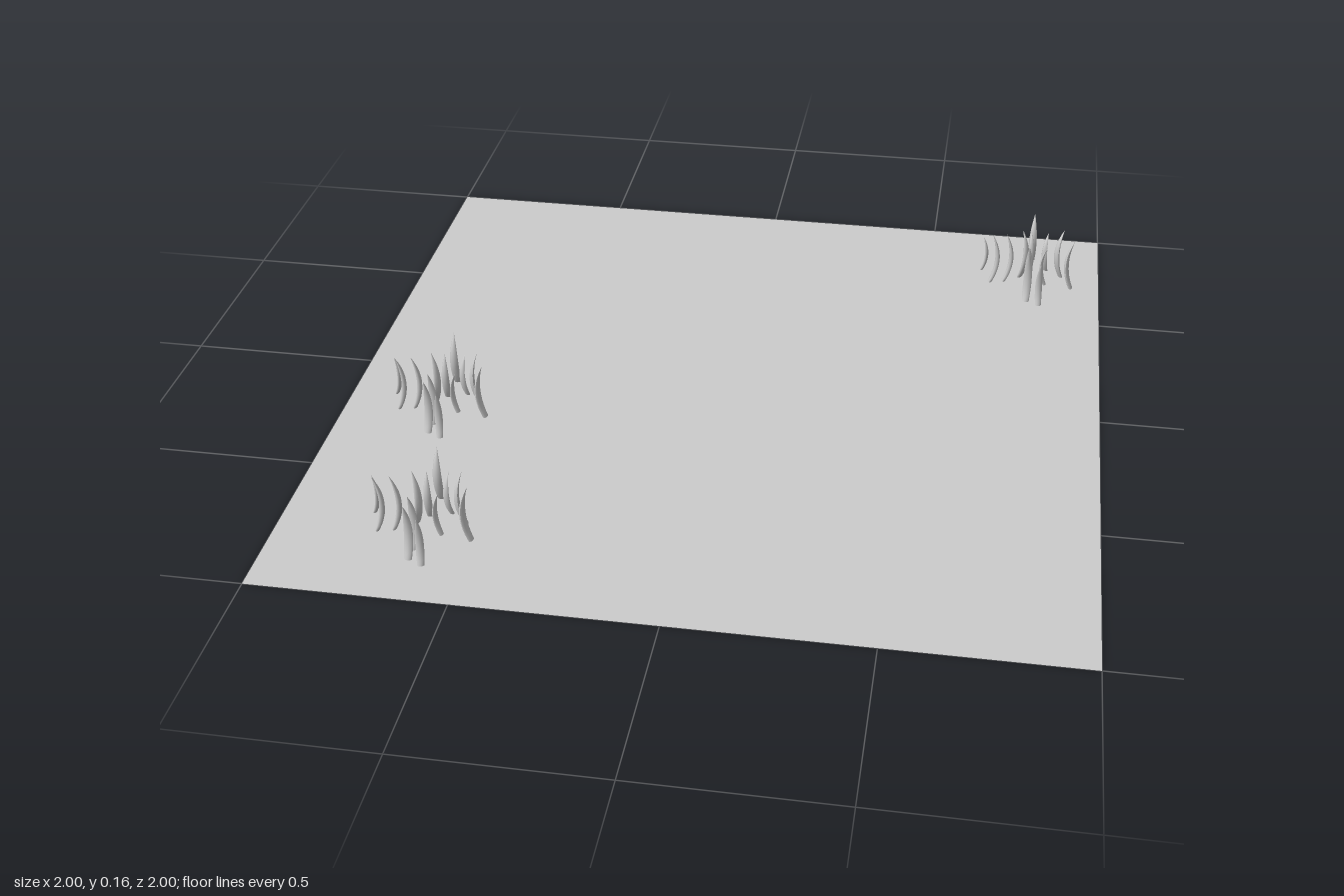
import * as THREE from 'three';

const material = new THREE.MeshStandardMaterial({ color: 0xcccccc, side: THREE.DoubleSide });

// Blade offsets within one clump: x, z, height
const BLADES = [
  [-0.14, -0.05, 0.11], [0, -0.125, 0.155], [0.04, -0.07, 0.125], [0.08, -0.04, 0.155],
  [0.11, 0.02, 0.155], [0.035, 0.01, 0.12], [-0.005, -0.05, 0.135], [-0.025, -0.02, 0.155],
  [-0.07, 0.005, 0.155], [-0.11, 0.015, 0.155], [-0.01, 0.07, 0.155], [-0.01, 0.11, 0.155],
  [0.025, 0.13, 0.135],
];
const CLUMPS = [[0.8, -0.73], [-0.735, 0.2], [-0.63, 0.73]];

// Tapered blade whose middle bows towards -x, with base and tip turned outwards
function bladeGeometry() {
  const geometry = new THREE.CylinderGeometry(1, 1, 1, 8, 10, true);
  const p = geometry.attributes.position;
  for (let i = 0; i < p.count; i++) {
    const t = p.getY(i) + 0.5;
    const taper = Math.max(0.03, (0.8 + 0.7 * t) * (1 - Math.pow(t, 2.2)));
    const bow = 0.018 * (Math.pow(2 * t - 1, 2) - 0.5);
    p.setXYZ(i, p.getX(i) * 0.0075 * taper + bow, t * 0.155, p.getZ(i) * 0.0125 * taper);
  }
  geometry.computeVertexNormals();
  return geometry;
}

export function createModel() {
  const model = new THREE.Group();
  model.name = 'grassyGround';

  // Flat square of ground
  const ground = new THREE.Mesh(new THREE.PlaneGeometry(2, 2).rotateX(-Math.PI / 2), material);
  ground.name = 'ground';
  model.add(ground);

  // Three identical grass clumps, every blade splaying away from its clump centre
  const geometry = bladeGeometry();
  CLUMPS.forEach(([cx, cz]) => {
    const clump = new THREE.Group();
    clump.name = 'grassClump';
    clump.position.set(cx, 0, cz);
    BLADES.forEach(([x, z, height]) => {
      const blade = new THREE.Mesh(geometry, material);
      blade.name = 'grassBlade';
      blade.position.set(x, 0, z);
      blade.rotation.y = Math.atan2(-z, x);
      blade.scale.setScalar(height / 0.155);
      clump.add(blade);
    });
    model.add(clump);
  });
  return model;
}
